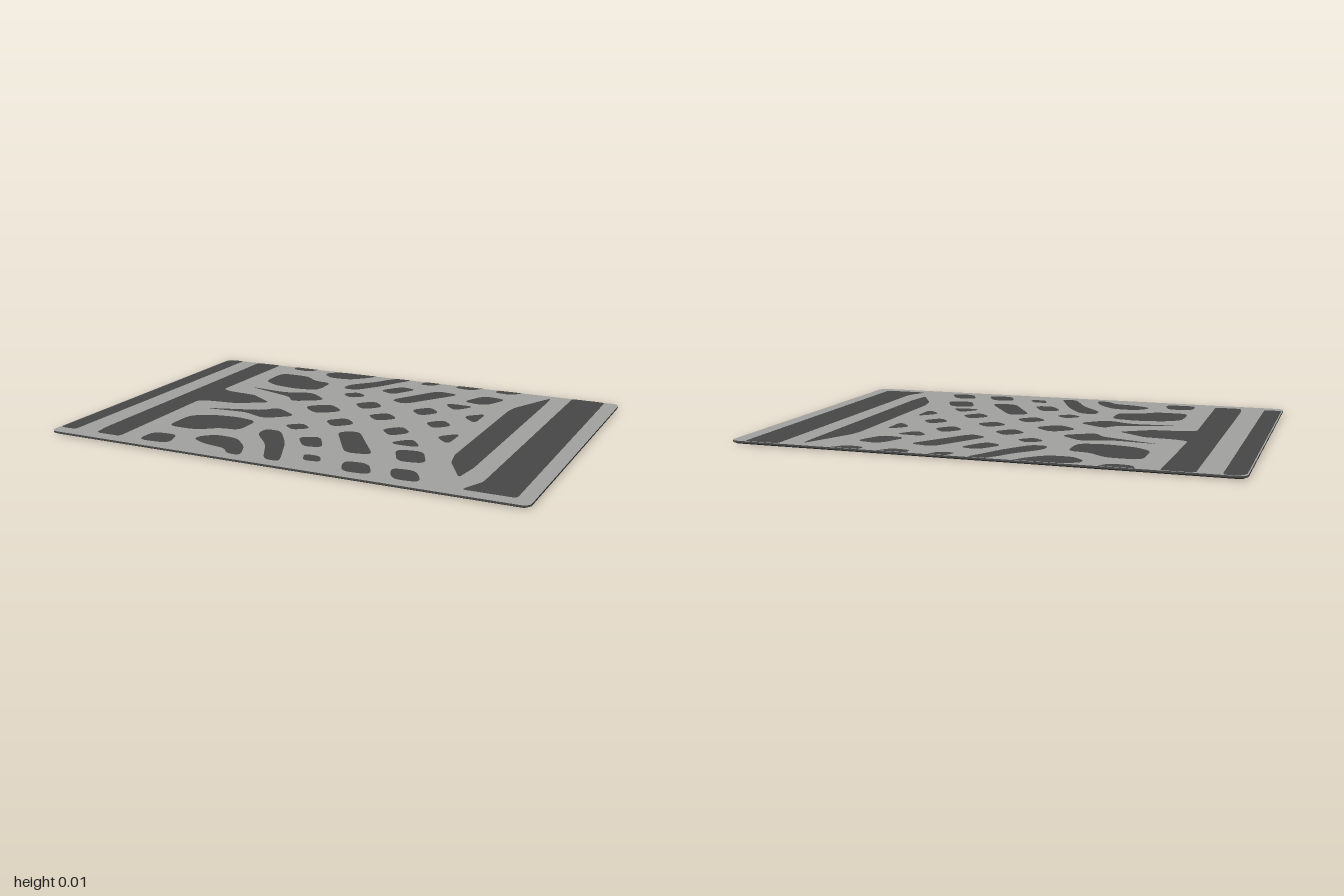
import * as THREE from 'three';

const W = 1, D = 0.692, TOP = 0.014, MIRROR = -0.06;

const paleGrey = new THREE.MeshStandardMaterial({ color: 0xa3a3a1 });
const darkGrey = new THREE.MeshStandardMaterial({ color: 0x484848 });

// Rounded rectangle outline, as [x, z] points
function slabOutline(inset) {
  const r = 0.03, pts = [];
  const corners = [[1, 1], [-1, 1], [-1, -1], [1, -1]];
  corners.forEach(([sx, sz], c) => {
    for (let i = 0; i <= 6; i++) {
      const a = (c + i / 6) * Math.PI / 2, q = r - inset;
      pts.push([sx * (W - r) + q * Math.cos(a), sz * (D - r) + q * Math.sin(a)]);
    }
  });
  return pts;
}

// Flat face at height y, facing up or down
function flatFace(name, pts, y, material, down = false) {
  const s = down ? 1 : -1;
  const shape = new THREE.Shape(pts.map(([x, z]) => new THREE.Vector2(x, s * z)));
  const g = new THREE.ShapeGeometry(shape);
  g.rotateX(down ? Math.PI / 2 : -Math.PI / 2);
  g.translate(0, y, 0);
  const mesh = new THREE.Mesh(g, material);
  mesh.name = name;
  return mesh;
}

// Edge band lofted through outlines at several heights
function edgeBand(levels) {
  const pos = [];
  for (let l = 0; l + 1 < levels.length; l++) {
    const lo = slabOutline(levels[l][1]), hi = slabOutline(levels[l + 1][1]);
    lo.forEach((a, i) => {
      const j = (i + 1) % lo.length;
      const A = [a[0], levels[l][0], a[1]], B = [lo[j][0], levels[l][0], lo[j][1]];
      const C = [hi[j][0], levels[l + 1][0], hi[j][1]], E = [hi[i][0], levels[l + 1][0], hi[i][1]];
      pos.push(...A, ...C, ...B, ...A, ...E, ...C);
    });
  }
  const g = new THREE.BufferGeometry();
  g.setAttribute('position', new THREE.Float32BufferAttribute(pos, 3));
  g.computeVertexNormals();
  const mesh = new THREE.Mesh(g, darkGrey);
  mesh.name = 'edgeBand';
  return mesh;
}

// Softens the corners of a polygon
function soften(poly, limit = 0.045) {
  const out = [], n = poly.length;
  const toward = (p, q) => {
    const len = Math.hypot(q[0] - p[0], q[1] - p[1]);
    const t = Math.min(0.36, limit / len);
    return new THREE.Vector2(p[0] + (q[0] - p[0]) * t, p[1] + (q[1] - p[1]) * t);
  };
  poly.forEach((p, i) => {
    const curve = new THREE.QuadraticBezierCurve(
      toward(p, poly[(i + n - 1) % n]), new THREE.Vector2(...p), toward(p, poly[(i + 1) % n]));
    curve.getPoints(5).forEach(v => out.push([v.x, v.y]));
  });
  return out;
}

const diamond = (x, z, rx, rz) => [[x - rx, z], [x, z - rz], [x + rx, z], [x, z + rz]];

// Patches that appear on both sides of the pattern's middle line
const pairedPatches = [
  { name: 'leaf', pts: [[-.62, .14], [-.46, .09], [-.37, .06], [-.33, 0], [-.2, .08], [-.31, .17], [-.42, .12]] },
  { name: 'largePatch', pts: [[-.61, .27], [-.54, .22], [-.42, .2], [-.31, .22], [-.31, .36], [-.4, .37], [-.47, .43], [-.61, .43]] },
  { name: 'cornerBlock', pts: [[-.61, .53], [-.5, .52], [-.47, .63], [-.61, .64]] },
  { name: 'teardrop', pts: [[-.41, .5], [-.36, .455], [-.26, .46], [-.18, .54], [-.14, .64], [-.2, .64], [-.24, .59], [-.34, .575], [-.41, .54]] },
  { name: 'curvedBar', pts: [[-.22, .3], [-.15, .3], [-.06, .43], [.03, .64], [-.04, .64], [-.12, .48], [-.22, .37]] },
  { name: 'slantedBar', pts: [[.06, .21], [.14, .17], [.31, .42], [.2, .44]] },
  { name: 'shortBar', pts: [[-.05, .34], [.03, .3], [.1, .42], [.02, .44]] },
  { name: 'outerBar', pts: [[.36, .32], [.47, .3], [.53, .43], [.42, .45]] },
  { name: 'edgeBlock', pts: [[.07, .52], [.14, .52], [.17, .58], [.1, .59]] },
  { name: 'edgeBlock', pts: [[.24, .53], [.34, .52], [.4, .63], [.28, .64]] },
  { name: 'edgeBlock', pts: [[.43, .53], [.53, .52], [.59, .63], [.48, .64]] },
  { name: 'diamond', pts: diamond(-.12, .215, .06, .05) },
  { name: 'diamond', pts: diamond(.01, .085, .07, .07) },
  { name: 'diamond', pts: diamond(.27, .1, .065, .07) },
  { name: 'triangle', pts: [[.44, .1], [.52, .02], [.52, .175]] },
  { name: 'triangle', pts: [[.31, .24], [.375, .17], [.44, .26], [.33, .265]] }
];

// Patches on the middle line
const centrePatches = [
  diamond(-.145, -.07, .095, .08), diamond(.137, -.065, .07, .065), diamond(.39, -.065, .06, .065)
];

// Long stripes across the depth
const stripes = [
  { name: 'outerStripe', pts: [[-.995, -.665], [-.97, -.69], [-.915, -.69], [-.92, .635], [-.995, .635]] },
  { name: 'tongueStripe', pts: [[-.825, -.69], [-.7, -.69], [-.71, -.17], [-.66, -.15], [-.53, -.14], [-.41, -.06],
    [-.53, .015], [-.66, .03], [-.71, .05], [-.7, .635], [-.815, .635], [-.825, .55]] },
  { name: 'taperedStripe', pts: [[.7, -.66], [.6, -.44], [.59, -.38], [.59, .29], [.61, .38], [.69, .52], [.705, .4], [.705, -.58]] },
  { name: 'wideStripe', pts: [[.79, -.69], [.935, -.69], [.94, .635], [.74, .635], [.785, .53]] }
];

export function createModel() {
  const model = new THREE.Group();
  model.name = 'patternedPanel';

  // Slab: pale top and underside with a dark edge
  model.add(flatFace('topFace', slabOutline(0), TOP, paleGrey));
  model.add(flatFace('underside', slabOutline(0.015), 0, paleGrey, true));
  model.add(edgeBand([[0, 0.015], [0.007, 0], [TOP, 0]]));

  // Painted pattern just above the top face
  const pattern = new THREE.Group();
  pattern.name = 'pattern';
  const paint = (name, pts) => pattern.add(flatFace(name, pts, TOP + 0.001, darkGrey));
  stripes.forEach(s => paint(s.name, soften(s.pts, 0.02)));
  centrePatches.forEach(p => paint('centreDiamond', soften(p)));
  pairedPatches.forEach(({ name, pts }) => {
    const near = soften(pts);
    paint(name + 'Near', near);
    // the far copy runs off the far edge
    paint(name + 'Far', near.map(([x, z]) => [x, Math.max(2 * MIRROR - z, -D + 0.001)]).reverse());
  });
  model.add(pattern);
  return model;
}
